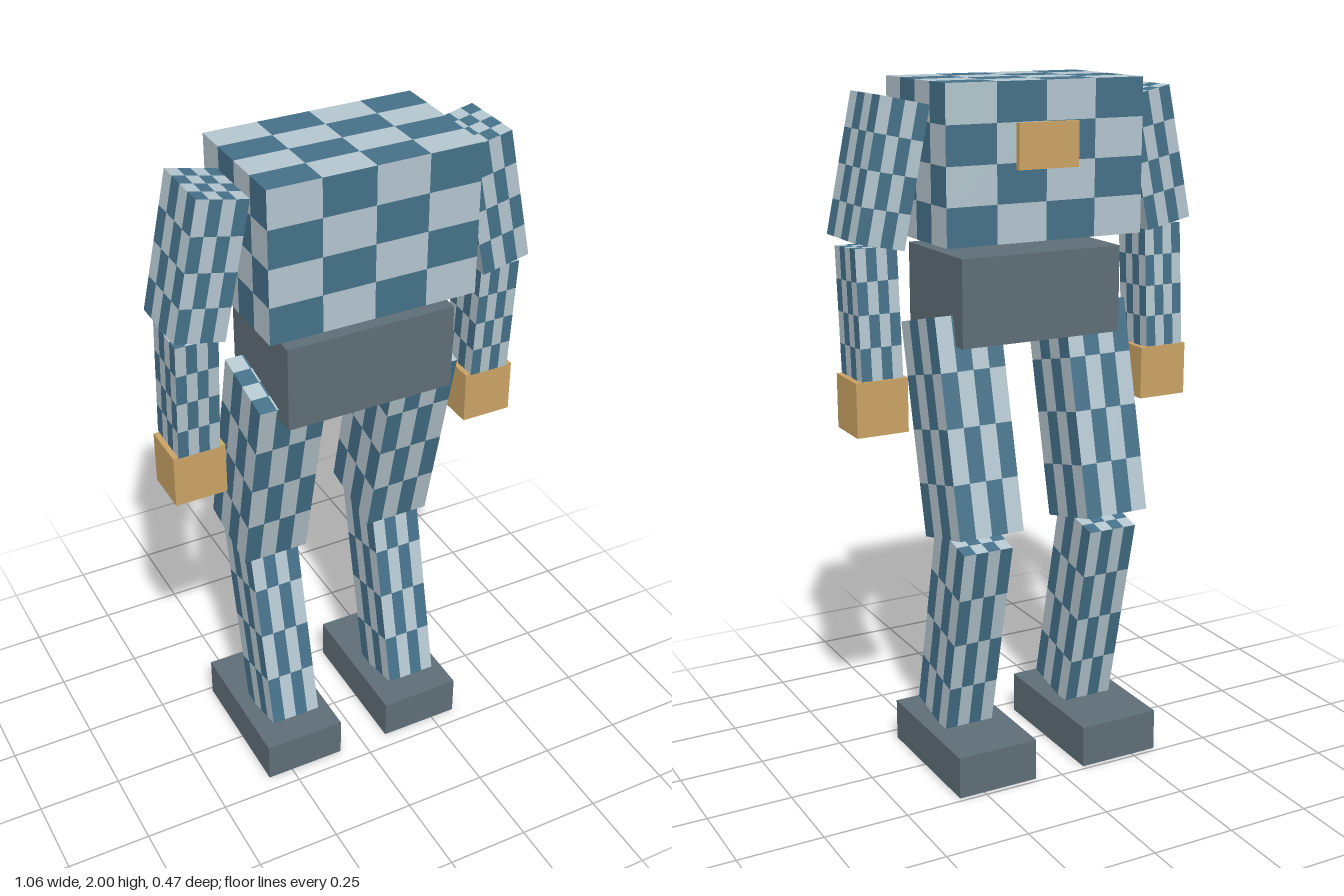
import * as THREE from 'three';

const material = (name, color) => {
  const m = new THREE.MeshStandardMaterial({ color });
  m.name = name;
  return m;
};

// Box whose six faces each carry a 4 x 4 checker, as two material groups
function checkerGeometry(w, h, d) {
  const g = new THREE.BoxGeometry(w, h, d, 4, 4, 4);
  const source = Array.from(g.index.array);
  const cells = [[], []];
  for (let q = 0; q < source.length / 6; q++) {
    const column = q % 4, row = Math.floor(q / 4) % 4;
    cells[(column + row) % 2].push(...source.slice(q * 6, q * 6 + 6));
  }
  g.setIndex([...cells[0], ...cells[1]]);
  g.clearGroups();
  g.addGroup(0, cells[0].length, 0);
  g.addGroup(cells[0].length, cells[1].length, 1);
  return g;
}

export function createModel() {
  const model = new THREE.Group();
  model.name = 'headlessFigure';
  const checker = [material('paleBlue', 0xb4c6cf), material('deepBlue', 0x457189)];
  const slate = material('slate', 0x5f6e77);
  const tan = material('tan', 0xcaa365);

  const add = (parent, name, geometry, mat, position, rx = 0, rz = 0) => {
    const mesh = new THREE.Mesh(geometry, mat);
    mesh.name = name;
    mesh.position.set(...position);
    mesh.rotation.set(rx, 0, rz);
    parent.add(mesh);
  };
  const box = (w, h, d) => new THREE.BoxGeometry(w, h, d);

  // Trunk
  add(model, 'torso', checkerGeometry(0.606, 0.432, 0.376), checker, [0, 1.784, 0.046]);
  add(model, 'backPlate', box(0.185, 0.125, 0.016), tan, [0, 1.828, -0.149]);
  add(model, 'pelvis', box(0.497, 0.248, 0.342), slate, [0, 1.409, 0.05]);

  // Arms and legs, one of each per side
  for (const s of [1, -1]) {
    const side = s > 0 ? 'left' : 'right';
    const arm = new THREE.Group();
    arm.name = side + 'Arm';
    add(arm, 'upperArm', checkerGeometry(0.145, 0.391, 0.2), checker, [s * 0.417, 1.763, 0.045], 0, s * 0.209);
    add(arm, 'forearm', checkerGeometry(0.122, 0.36, 0.143), checker, [s * 0.456, 1.383, 0.036], 0.07);
    add(arm, 'hand', box(0.153, 0.155, 0.138), tan, [s * 0.456, 1.128, 0.026]);

    const leg = new THREE.Group();
    leg.name = side + 'Leg';
    add(leg, 'thigh', checkerGeometry(0.2, 0.622, 0.228), checker, [s * 0.204, 1.04, -0.021], 0.232);
    add(leg, 'shin', checkerGeometry(0.153, 0.612, 0.188), checker, [s * 0.204, 0.433, -0.021], -0.227);
    add(leg, 'foot', box(0.248, 0.125, 0.437), slate, [s * 0.204, 0.0625, -0.017]);
    model.add(arm, leg);
  }
  return model;
}
